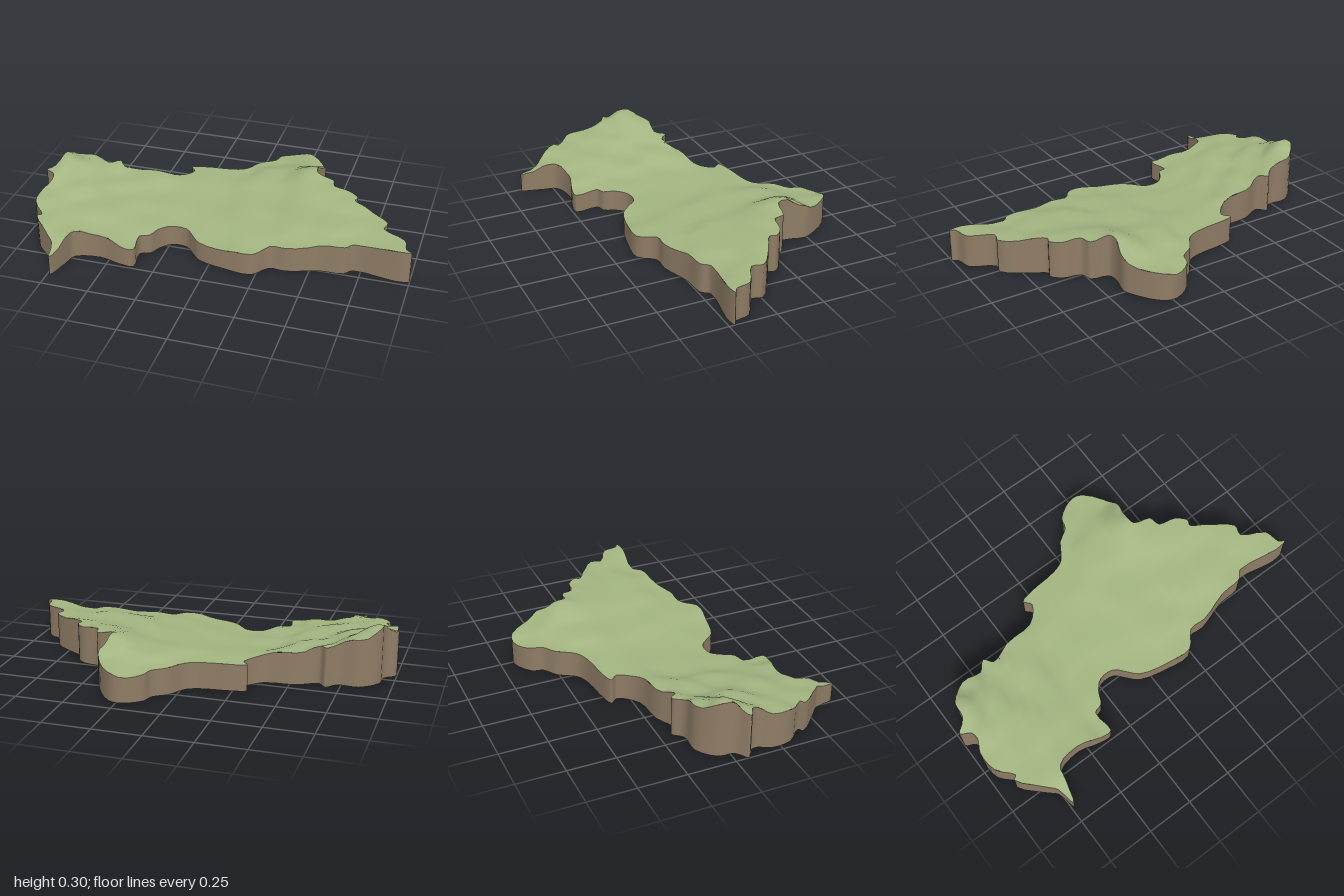
import * as THREE from 'three';

// Coastline seen from above, as x, z pairs
const OUTLINE = [
  -1, .07, -.94, .02, -.93, -.06, -.84, -.14, -.73, -.14, -.68, -.19, -.64, -.15, -.53, -.2,
  -.37, -.22, -.29, -.31, -.32, -.35, -.26, -.37, -.09, -.39, -.02, -.42, .04, -.51, .11, -.56,
  .13, -.62, .23, -.68, .3, -.66, .4, -.52, .41, -.48, .39, -.39, .4, -.33, .49, -.31,
  .51, -.25, .6, -.23, .65, -.18, .64, -.15, .72, -.1, .84, -.01, .83, .05, .95, .12,
  .97, .2, 1, .22, .93, .23, .71, .2, .67, .24, .55, .25, .39, .3, .3, .3,
  .23, .38, .09, .37, -.06, .33, -.11, .28, -.16, .23, -.24, .23, -.29, .28, -.32, .34,
  -.37, .36, -.36, .48, -.43, .48, -.55, .45, -.68, .48, -.7, .55, -.735, .67, -.76, .57,
  -.8, .53, -.91, .41, -.89, .39, -.96, .31, -.97, .2, -.94, .14, -.95, .1,
];

// Spot heights as x, z, y triples
const SPOTS = [
  -1, .07, .24, -.92, -.02, .3, -.84, -.14, .25, -.68, -.19, .21, -.53, -.2, .17,
  -.32, -.35, .14, -.05, -.4, .14, .1, -.56, .14, .2, -.68, .13, .3, -.66, .15,
  .37, -.55, .15, .41, -.45, .19, .39, -.38, .24, .5, -.28, .21, .65, -.18, .2,
  .84, -.01, .18, 1, .22, .175, .7, .2, .155, .4, .3, .135, .23, .38, .12,
  0, .35, .105, -.2, .23, .11, -.36, .45, .1, -.55, .45, .13, -.68, .48, .15,
  -.735, .67, .105, -.9, .4, .165, -.97, .25, .19, -.8, .1, .21, -.7, .25, .17,
  -.55, .1, .155, -.6, -.05, .18, -.35, 0, .13, -.35, .2, .12, -.1, 0, .125,
  .15, -.1, .15, .15, -.35, .17, .4, .05, .17, .25, .15, .14, .6, .05, .175,
];

// Smooth height: distance-weighted mean of the spot heights
function heightAt(x, z) {
  let sum = 0, total = 0;
  for (let i = 0; i < SPOTS.length; i += 3) {
    const d = (x - SPOTS[i]) ** 2 + (z - SPOTS[i + 1]) ** 2;
    const w = 1 / (d + 0.003) ** 2;
    sum += w * SPOTS[i + 2];
    total += w;
  }
  return sum / total;
}

// Coastline rounded slightly between the given points
function coastline() {
  const pts = [];
  for (let i = 0; i < OUTLINE.length; i += 2) pts.push(new THREE.Vector3(OUTLINE[i], 0, OUTLINE[i + 1]));
  const curve = new THREE.CatmullRomCurve3(pts, true, 'centripetal');
  const n = pts.length * 3;
  return Array.from({ length: n }, (_, i) => {
    const p = curve.getPoint(i / n);
    return new THREE.Vector2(p.x, p.z);
  });
}

// Keep the part of a polygon where sign * (p[axis] - limit) >= 0
function clip(poly, axis, limit, sign) {
  const out = [];
  poly.forEach((a, i) => {
    const b = poly[(i + 1) % poly.length];
    const da = sign * (a[axis] - limit), db = sign * (b[axis] - limit);
    if (da >= 0) out.push(a);
    if ((da > 0 && db < 0) || (da < 0 && db > 0)) out.push(a.clone().lerp(b, da / (da - db)));
  });
  return out;
}

// Triangles of a polygon, wound to face up
function triangles(poly) {
  const out = [];
  for (const [i, j, k] of THREE.ShapeUtils.triangulateShape(poly.slice(), [])) {
    const a = poly[i], b = poly[j], c = poly[k];
    const up = (b.y - a.y) * (c.x - a.x) - (b.x - a.x) * (c.y - a.y);
    if (Math.abs(up) > 1e-9) out.push(up > 0 ? [a, b, c] : [a, c, b]);
  }
  return out;
}

// Rolling land: the coastline cut into grid cells and raised to the height field
function landGeometry(coast) {
  const pos = [], nor = [], step = 0.05, e = 0.01, n = new THREE.Vector3();
  for (let x = -1.05; x < 1.05; x += step) {
    const strip = clip(clip(coast, 'x', x, 1), 'x', x + step, -1);
    if (strip.length < 3) continue;
    for (let z = -0.75; z < 0.75; z += step) {
      const cell = clip(clip(strip, 'y', z, 1), 'y', z + step, -1);
      if (cell.length < 3) continue;
      for (const p of triangles(cell).flat()) {
        pos.push(p.x, heightAt(p.x, p.y), p.y);
        n.set(heightAt(p.x - e, p.y) - heightAt(p.x + e, p.y), 2 * e,
          heightAt(p.x, p.y - e) - heightAt(p.x, p.y + e)).normalize();
        nor.push(n.x, n.y, n.z);
      }
    }
  }
  const g = new THREE.BufferGeometry();
  g.setAttribute('position', new THREE.Float32BufferAttribute(pos, 3));
  g.setAttribute('normal', new THREE.Float32BufferAttribute(nor, 3));
  return g;
}

// Vertical cliff from the ground up to the land edge
function cliffGeometry(coast) {
  const pos = [], index = [], n = coast.length;
  coast.forEach((p, i) => {
    pos.push(p.x, 0, p.y, p.x, heightAt(p.x, p.y), p.y);
    const a = 2 * i, b = 2 * ((i + 1) % n);
    index.push(a, a + 1, b, b, a + 1, b + 1);
  });
  const g = new THREE.BufferGeometry();
  g.setAttribute('position', new THREE.Float32BufferAttribute(pos, 3));
  g.setIndex(index);
  g.computeVertexNormals();
  return g;
}

// Flat underside, facing down
function baseGeometry(coast) {
  const pos = triangles(coast).flatMap(([a, b, c]) => [a, c, b]).flatMap((p) => [p.x, 0, p.y]);
  const g = new THREE.BufferGeometry();
  g.setAttribute('position', new THREE.Float32BufferAttribute(pos, 3));
  g.computeVertexNormals();
  return g;
}

export function createModel() {
  const grass = new THREE.MeshStandardMaterial({ color: 0xa3b581 });
  grass.name = 'grass green';
  const earth = new THREE.MeshStandardMaterial({ color: 0x8f7d66 });
  earth.name = 'earth brown';

  const model = new THREE.Group();
  model.name = 'terrainSlab';
  const coast = coastline();
  const add = (name, geometry, material) => {
    const mesh = new THREE.Mesh(geometry, material);
    mesh.name = name;
    model.add(mesh);
  };
  add('landSurface', landGeometry(coast), grass);
  add('cliffWall', cliffGeometry(coast), earth);
  add('underside', baseGeometry(coast), earth);
  return model;
}
